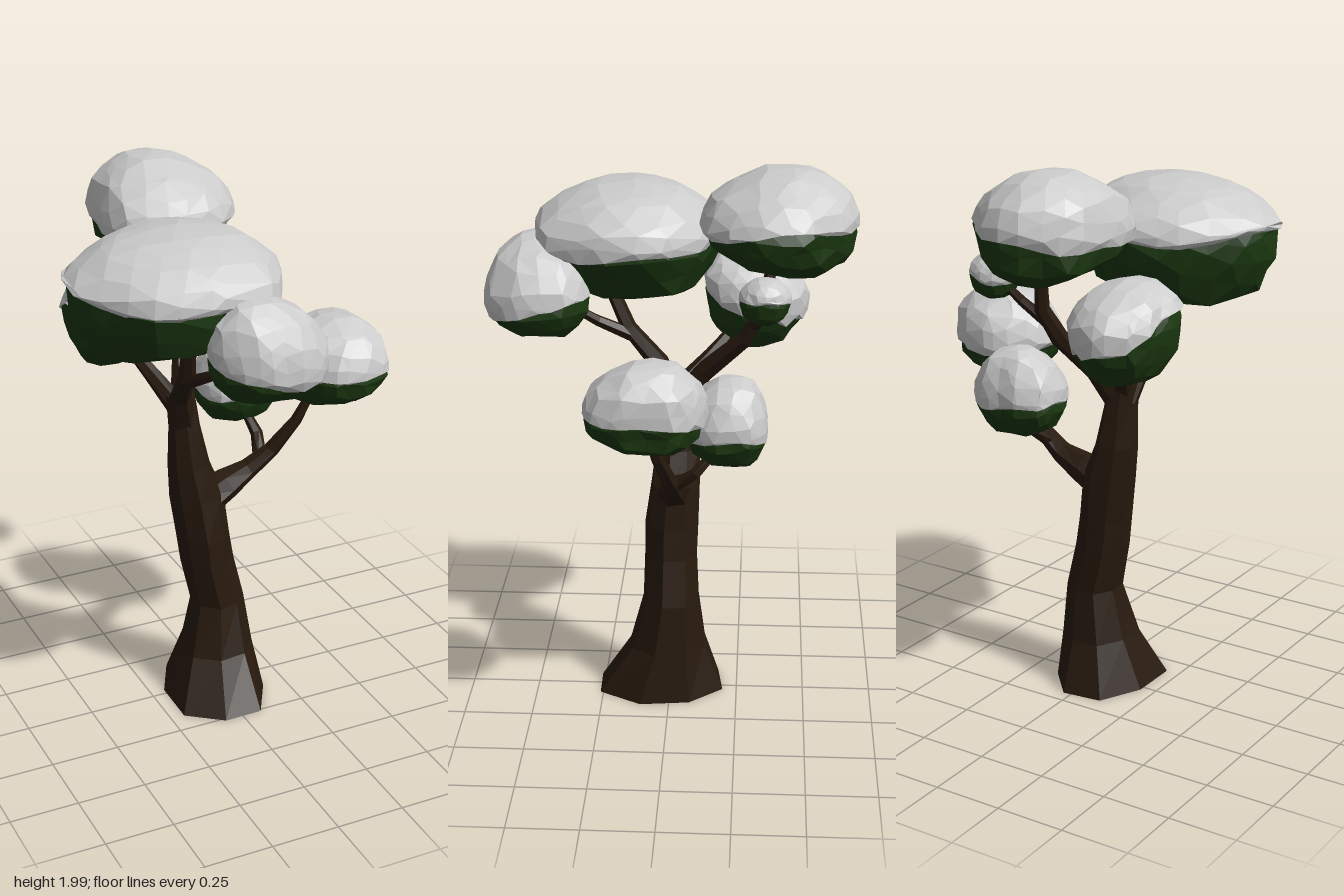
import * as THREE from 'three';

const bark = new THREE.MeshStandardMaterial({ color: 0x281a0e, flatShading: true });
const leaf = new THREE.MeshStandardMaterial({ color: 0x1b3710, flatShading: true });
const snow = new THREE.MeshStandardMaterial({ color: 0xcccccc, flatShading: true });

// Smooth, repeatable unevenness in about -1..1
const wobble = (v, f, s) =>
  (Math.sin(v.x * f + s) + Math.sin(v.y * f * 1.2 + s * 2.3) + Math.sin(v.z * f * 0.9 + s * 3.7)) / 3;

// Closed faceted limb through rings [x, y, z, radius across, radius deep]
function limb(name, rings, sides, level = false) {
  const centres = rings.map(r => new THREE.Vector3(r[0], r[1], r[2]));
  const last = rings.length - 1;
  const loops = rings.map((r, i) => {
    const t = level ? new THREE.Vector3(0, 1, 0)
      : centres[Math.min(i + 1, last)].clone().sub(centres[Math.max(i - 1, 0)]).normalize();
    const u = t.clone().cross(new THREE.Vector3(0, 0, 1)).normalize();
    const v = u.clone().cross(t);
    return Array.from({ length: sides }, (_, j) => {
      const a = (j + 0.35) / sides * Math.PI * 2;
      const k = 1 + 0.06 * Math.sin(j * 2.6 + i * 0.8);
      return centres[i].clone()
        .addScaledVector(u, Math.cos(a) * r[3] * k)
        .addScaledVector(v, Math.sin(a) * (r[4] ?? r[3]) * k);
    });
  });
  const tri = [];
  for (let j = 0; j < sides; j++) {
    const n = (j + 1) % sides;
    for (let i = 0; i < last; i++) {
      const a = loops[i][j], b = loops[i][n], c = loops[i + 1][j], d = loops[i + 1][n];
      tri.push(a, c, b, b, c, d);
    }
    tri.push(centres[0], loops[0][j], loops[0][n]);
    tri.push(centres[last], loops[last][n], loops[last][j]);
  }
  const geo = new THREE.BufferGeometry().setFromPoints(tri);
  geo.computeVertexNormals();
  const mesh = new THREE.Mesh(geo, bark);
  mesh.name = name;
  return mesh;
}

// Radius of a plan outline (8 radii, from +x round through +z) in a direction
function planRadius(plan, x, z) {
  const a = (Math.atan2(z, x) / (Math.PI * 2) + 1) % 1 * 8;
  const i = Math.floor(a);
  return THREE.MathUtils.lerp(plan[i % 8], plan[(i + 1) % 8], THREE.MathUtils.smoothstep(a - i, 0, 1));
}

// Uneven faceted blob; with a rim function everything under the rim is cut flat
function blob(name, c, seed, size, material, rim) {
  const geo = new THREE.IcosahedronGeometry(1, 3);
  const pos = geo.attributes.position;
  const n = new THREE.Vector3();
  for (let i = 0; i < pos.count; i++) {
    n.fromBufferAttribute(pos, i);
    // slide the vertices about so that the facets vary in size
    n.set(
      n.x + 0.12 * wobble(n, 17, seed),
      n.y + 0.12 * wobble(n, 19, seed + 2),
      n.z + 0.12 * wobble(n, 18, seed + 4)).normalize();
    const p = n.y > 0 ? c.dome : c.foot;
    const h = Math.hypot(n.x, n.z);
    const k = size * Math.pow(h ** p + Math.abs(n.y) ** p, -1 / p)
      * (1 + 0.02 * wobble(n, 3.1, seed) + (rim ? 0.03 : 0.07) * wobble(n, 11, seed + 1));
    // the top leans over and the underside slopes
    const top = Math.max(n.y, 0) ** 1.5;
    const under = Math.min(1, Math.max(-n.y, 0) * 2);
    const r = planRadius(c.plan, n.x, n.z);
    let x = n.x * k * r + c.lean[0] * top;
    let z = n.z * k * r + c.lean[1] * top;
    let y = n.y * k * (n.y > 0 ? c.up : c.down) + under * (c.keel[0] * n.x + c.keel[1] * n.z);
    if (rim) {
      const edge = rim(n);
      if (y < edge) {
        y = edge;
        x *= 0.98;
        z *= 0.98;
      }
    }
    pos.setXYZ(i, x, y, z);
  }
  geo.computeVertexNormals();
  const mesh = new THREE.Mesh(geo, material);
  mesh.name = name;
  return mesh;
}

// Leaf clump with a snow cap whose rim slopes by tilt [x, z]
function clump(c, i) {
  const g = new THREE.Group();
  g.name = c.name;
  const seed = i * 1.7 + 0.6;
  const lip = Math.min(c.up, c.down) * 0.18;
  g.add(
    blob('leaves', { ...c, up: c.up * 0.85 }, seed, 0.95, leaf),
    blob('snowCap', c, seed, 1.01, snow,
      n => c.tilt[0] * n.x + c.tilt[1] * n.z - lip * 0.3 + lip * wobble(n, 5, seed)));
  g.position.set(...c.at);
  return g;
}

// up, down: heights over and under the middle; dome, foot: roundness of each half
const clumps = [
  { name: 'mainCrown', at: [-0.235, 1.735, 0.155], plan: [0.375, 0.385, 0.34, 0.345, 0.375, 0.325, 0.33, 0.35],
    up: 0.18, down: 0.27, dome: 1.85, foot: 2.6, tilt: [-0.02, -0.01], lean: [0.02, 0], keel: [0.03, 0.02] },
  { name: 'topCrown', at: [-0.03, 1.8, -0.375], plan: [0.255, 0.275, 0.275, 0.305, 0.255, 0.27, 0.28, 0.24],
    up: 0.195, down: 0.17, dome: 1.85, foot: 2.5, tilt: [0.03, -0.02], lean: [-0.03, -0.03], keel: [0, 0.04] },
  { name: 'frontCrown', at: [-0.03, 1.535, 0.47], plan: [0.205, 0.205, 0.185, 0.2, 0.205, 0.185, 0.19, 0.21],
    up: 0.22, down: 0.145, dome: 2.1, foot: 2.5, tilt: [-0.03, -0.05], lean: [-0.05, 0], keel: [0, 0.01] },
  { name: 'smallTuft', at: [0.21, 1.6, -0.33], plan: Array(8).fill(0.09),
    up: 0.08, down: 0.09, dome: 2, foot: 2.2, tilt: [0.02, 0], lean: [0, 0], keel: [0, 0] },
  { name: 'backCrown', at: [-0.285, 1.48, -0.295], plan: [0.185, 0.2, 0.185, 0.21, 0.155, 0.17, 0.195, 0.19],
    up: 0.15, down: 0.21, dome: 2, foot: 2.1, tilt: [-0.05, 0.08], lean: [0, 0.07], keel: [0, 0] },
  { name: 'lowerTuft', at: [0.19, 1.13, -0.2], plan: [0.165, 0.165, 0.14, 0.16, 0.16, 0.17, 0.145, 0.175],
    up: 0.19, down: 0.14, dome: 2, foot: 2.2, tilt: [-0.01, 0], lean: [0.01, -0.02], keel: [0, 0.01] },
  { name: 'sideCrown', at: [0.415, 1.275, 0.07], plan: [0.195, 0.233, 0.205, 0.17, 0.19, 0.2, 0.22, 0.213],
    up: 0.185, down: 0.145, dome: 2, foot: 2.6, tilt: [0.01, 0.02], lean: [0.04, -0.02], keel: [0, 0.02] },
];

export function createModel() {
  const tree = new THREE.Group();
  tree.name = 'snowyTree';

  // Trunk flaring at the foot
  tree.add(limb('trunk', [
    [-0.022, 0.005, 0.04, 0.19, 0.245], [0.0, 0.19, 0.01, 0.135, 0.148],
    [0.012, 0.38, -0.005, 0.098, 0.107], [-0.025, 0.55, -0.005, 0.096, 0.1],
    [-0.038, 0.66, -0.005, 0.095, 0.1], [-0.055, 0.82, -0.015, 0.1, 0.09],
    [-0.085, 0.95, -0.02, 0.077, 0.082], [-0.103, 1.1, -0.022, 0.057, 0.07],
    [-0.118, 1.22, -0.025, 0.052, 0.06],
  ], 8, true));

  // Side bough with its twig
  tree.add(limb('sideBough', [
    [-0.05, 0.78, -0.01, 0.07], [0.06, 0.835, -0.015, 0.057], [0.15, 0.875, -0.02, 0.038],
    [0.24, 0.94, -0.01, 0.03], [0.32, 1.06, 0.03, 0.022], [0.38, 1.2, 0.06, 0.014],
  ], 6));
  tree.add(limb('lowerTwig', [
    [0.2, 0.91, -0.02, 0.026], [0.225, 0.97, -0.1, 0.022], [0.2, 1.06, -0.18, 0.014],
  ], 6));

  // Front fork carrying the main and front crowns
  tree.add(limb('frontBough', [
    [-0.115, 1.12, -0.01, 0.05], [-0.15, 1.25, 0.05, 0.038], [-0.175, 1.37, 0.16, 0.03],
    [-0.19, 1.48, 0.21, 0.026], [-0.21, 1.62, 0.24, 0.018],
  ], 6));
  tree.add(limb('frontTwig', [
    [-0.17, 1.34, 0.14, 0.026], [-0.13, 1.41, 0.27, 0.02], [-0.06, 1.52, 0.42, 0.013],
  ], 6));

  // Rear fork carrying the top crown, small tuft and back crown
  tree.add(limb('rearBough', [
    [-0.105, 1.12, -0.03, 0.05], [-0.065, 1.25, -0.12, 0.038], [-0.005, 1.39, -0.26, 0.031],
    [0.025, 1.5, -0.32, 0.026], [0.015, 1.6, -0.34, 0.022], [0.0, 1.72, -0.36, 0.015],
  ], 6));
  tree.add(limb('tuftTwig', [
    [0.01, 1.44, -0.29, 0.022], [0.1, 1.52, -0.33, 0.017], [0.2, 1.59, -0.33, 0.011],
  ], 6));
  tree.add(limb('backTwig', [
    [-0.115, 1.16, -0.03, 0.04], [-0.18, 1.27, -0.14, 0.028], [-0.26, 1.4, -0.26, 0.016],
  ], 6));

  clumps.forEach((c, i) => tree.add(clump(c, i)));
  return tree;
}
